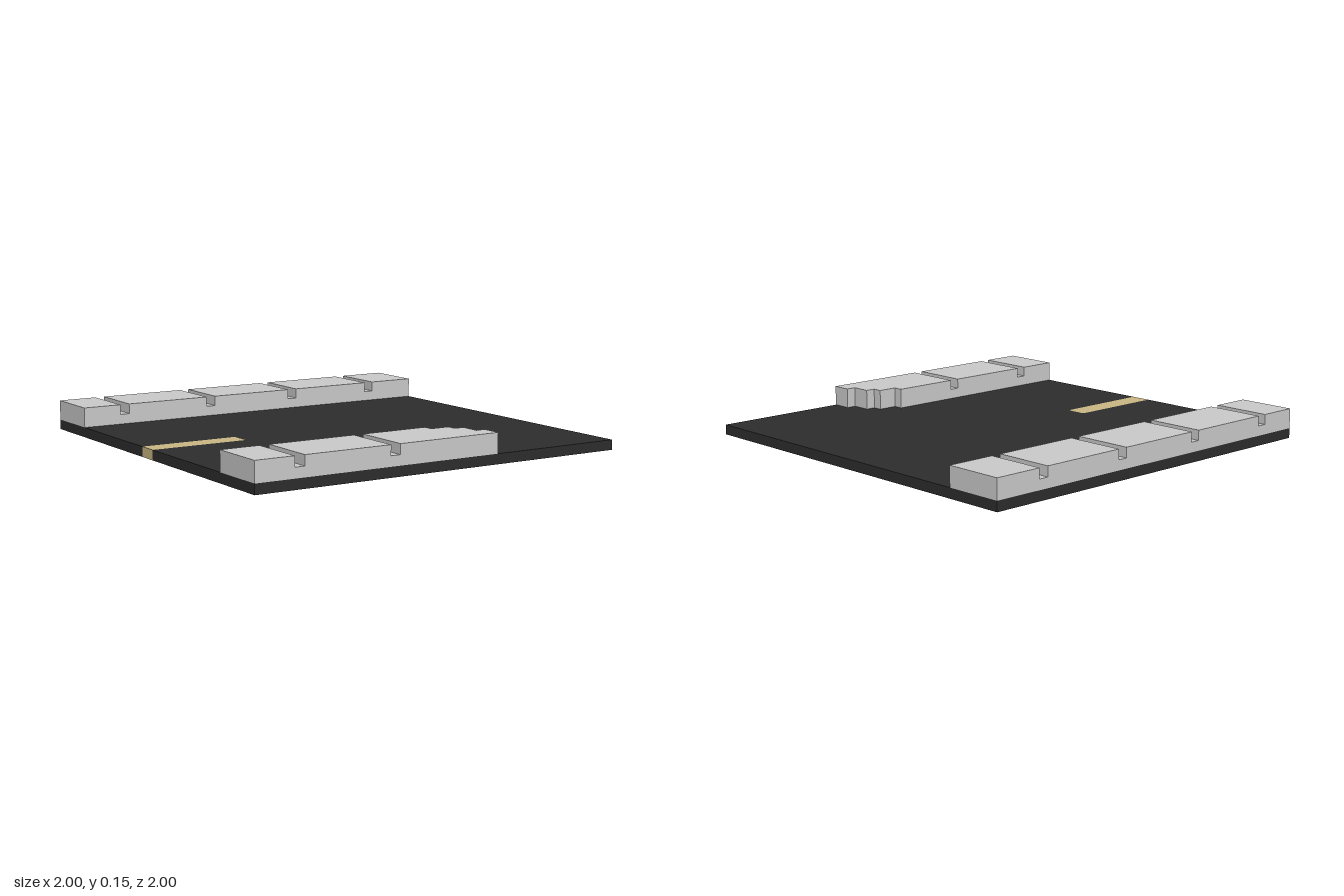
import * as THREE from 'three';

const asphalt = new THREE.MeshStandardMaterial({ name: 'asphalt', color: 0x2d2d2d });
const concrete = new THREE.MeshStandardMaterial({ name: 'concrete', color: 0xcacaca });
const paint = new THREE.MeshStandardMaterial({ name: 'lane paint', color: 0xcab783 });

// Extrude a floor plan, given as [x, z] corners, from y0 up to y1
function slab(name, plan, y0, y1, material) {
  const shape = new THREE.Shape(plan.map(([x, z]) => new THREE.Vector2(x, -z)));
  const geometry = new THREE.ExtrudeGeometry(shape, { depth: y1 - y0, bevelEnabled: false });
  geometry.rotateX(-Math.PI / 2).translate(0, y0, 0);
  const mesh = new THREE.Mesh(geometry, material);
  mesh.name = name;
  return mesh;
}

const rect = (x0, x1, z0, z1) => [[x0, z0], [x1, z0], [x1, z1], [x0, z1]];

const ROAD_TOP = 0.05, GROOVE_FLOOR = 0.1, KERB_TOP = 0.15, GROOVE = 0.05;

// Kerb: continuous base carrying paving blocks separated by grooves
function kerb(name, z0, z1, basePlan, grooves, lastPlan) {
  const group = new THREE.Group();
  group.name = name;
  group.add(slab('kerbBase', basePlan, ROAD_TOP, GROOVE_FLOOR, concrete));
  let start = -1;
  for (const g of grooves) {
    group.add(slab('pavingBlock', rect(start, g, z0, z1), GROOVE_FLOOR, KERB_TOP, concrete));
    start = g + GROOVE;
  }
  group.add(slab('endBlock', lastPlan(start), GROOVE_FLOOR, KERB_TOP, concrete));
  return group;
}

export function createModel() {
  const model = new THREE.Group();
  model.name = 'roadTile';

  // Lane marking runs through the full thickness, with clipped corners at its end
  const w = 0.053, end = -0.5, c = 0.01;
  const markEnd = [[end - c, -w], [end, -w + c], [end, w - c], [end - c, w]];
  model.add(slab('laneMarking', [[-1, -w], ...markEnd, [-1, w]], 0, ROAD_TOP, paint));

  // Road slab, notched around the marking
  model.add(slab('roadSlab',
    [[-1, -1], [1, -1], [1, 1], [-1, 1], [-1, w], ...[...markEnd].reverse(), [-1, -w]],
    0, ROAD_TOP, asphalt));

  // Straight kerb along the back
  const straight = (start) => rect(start, 1, -1, -0.7);
  model.add(kerb('backKerb', -1, -0.7, straight(-1), [-0.8, -0.3, 0.2, 0.7], straight));

  // Shorter front kerb with a stepped corner
  const stepped = (start) => [
    [start, 0.7], [0.1, 0.7], [0.1, 0.75], [0.2, 0.75], [0.2, 0.8],
    [0.25, 0.8], [0.25, 0.9], [0.3, 0.9], [0.3, 1], [start, 1],
  ];
  model.add(kerb('frontKerb', 0.7, 1, stepped(-1), [-0.8, -0.3], stepped));

  return model;
}
